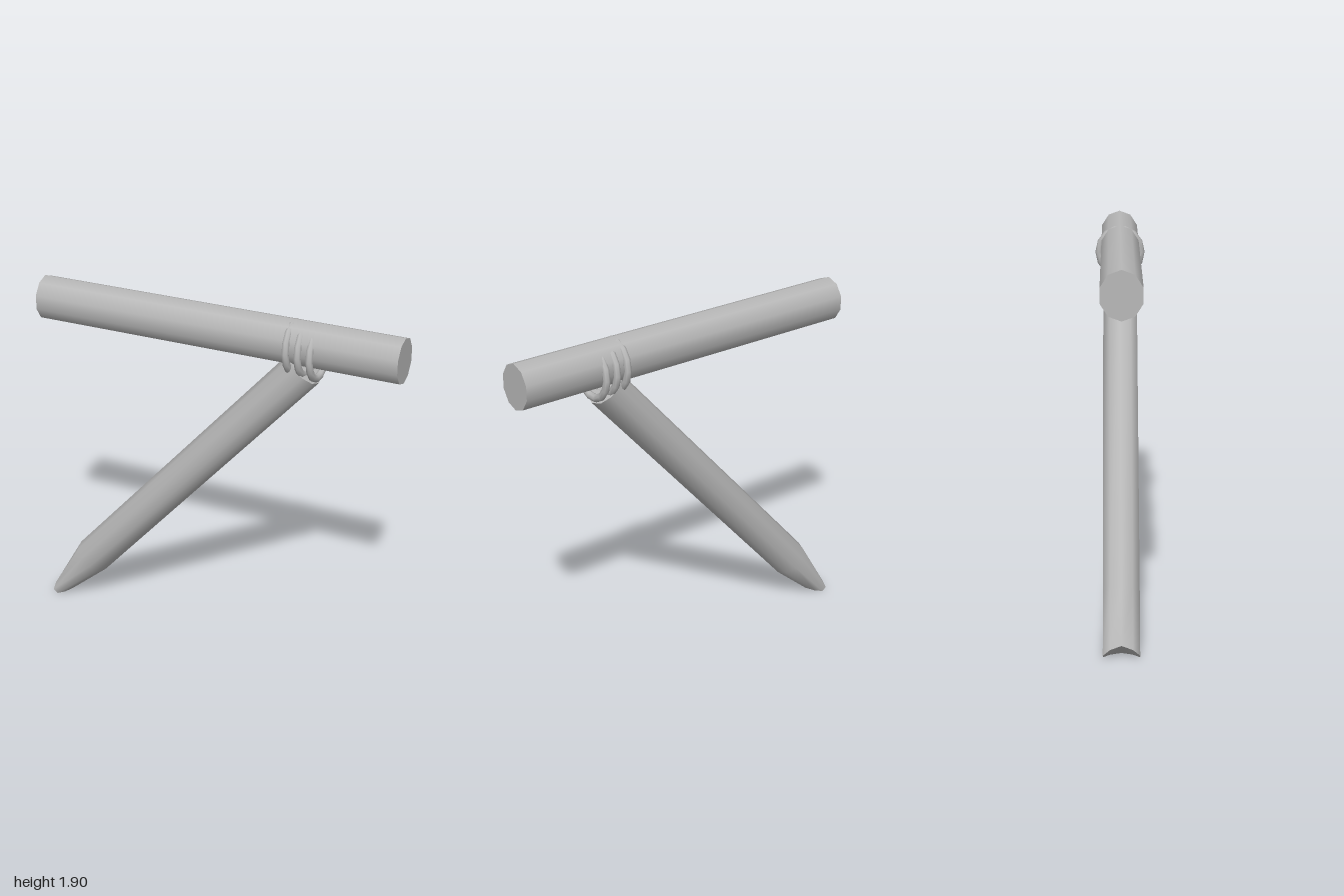
import * as THREE from 'three';
import { mergeVertices } from 'three/addons/utils/BufferGeometryUtils.js';

const SIDES = 10;

// Round pole with a pointed chisel tip, bent into place from a unit cylinder
function braceGeometry() {
  let geo = new THREE.CylinderGeometry(1, 1, 2, SIDES, 2);
  geo.deleteAttribute('uv');
  geo = mergeVertices(geo); // closes the seam, keeps the caps sharp
  const tip = new THREE.Vector3(-0.96, 0.035, 0);
  const shoulder = new THREE.Vector3(-0.775, 0.255, 0);
  const end = new THREE.Vector3(0.487, 1.65, 0);
  const along = end.clone().sub(shoulder).normalize();
  const across = new THREE.Vector3(-along.y, along.x, 0);
  const pos = geo.attributes.position;
  const v = new THREE.Vector3();
  for (let i = 0; i < pos.count; i++) {
    v.fromBufferAttribute(pos, i);
    const { x, y, z } = v;
    const atTip = y < -0.5;
    v.copy(atTip ? tip : y > 0.5 ? end : shoulder);
    v.addScaledVector(across, z * (atTip ? 0.053 : 0.104));
    v.z = x * 0.095;
    // The sides of the tip reach further out than its hollow middle
    if (atTip && Math.hypot(x, z) > 0.5) {
      v.addScaledVector(along, -0.045 * Math.sqrt(Math.max(0, 1 - Math.abs(z))));
      v.x = Math.max(v.x, -1);
      v.y = Math.max(v.y, 0);
    }
    pos.setXYZ(i, v.x, v.y, v.z);
  }
  geo.computeVertexNormals();
  return geo;
}

export function createModel() {
  const group = new THREE.Group();
  const grey = new THREE.MeshStandardMaterial({ color: 0xb8b8b8 });
  grey.name = 'plainGrey';

  const add = (name, geometry) => {
    const mesh = new THREE.Mesh(geometry, grey);
    mesh.name = name;
    group.add(mesh);
    return mesh;
  };

  // Horizontal bar, slightly taller than deep
  const bar = new THREE.CylinderGeometry(1, 1, 2, SIDES, 1, false, Math.PI / 2);
  bar.rotateZ(-Math.PI / 2).scale(1, 0.1185, 0.105);
  add('crossbar', bar).position.y = 1.777;

  // Slanted pole below the bar
  add('slantedPole', braceGeometry());

  // Three binding loops around the joint
  [0.426, 0.49, 0.553].forEach((x, i) => {
    const loop = new THREE.TorusGeometry(0.114, 0.019, 8, 14);
    loop.rotateY(Math.PI / 2).scale(1, 1.08, 1);
    const mesh = add('bindingLoop' + (i + 1), loop);
    mesh.position.set(x, 1.75 - i * 0.009, 0);
    mesh.rotation.z = 0.03;
  });

  return group;
}
